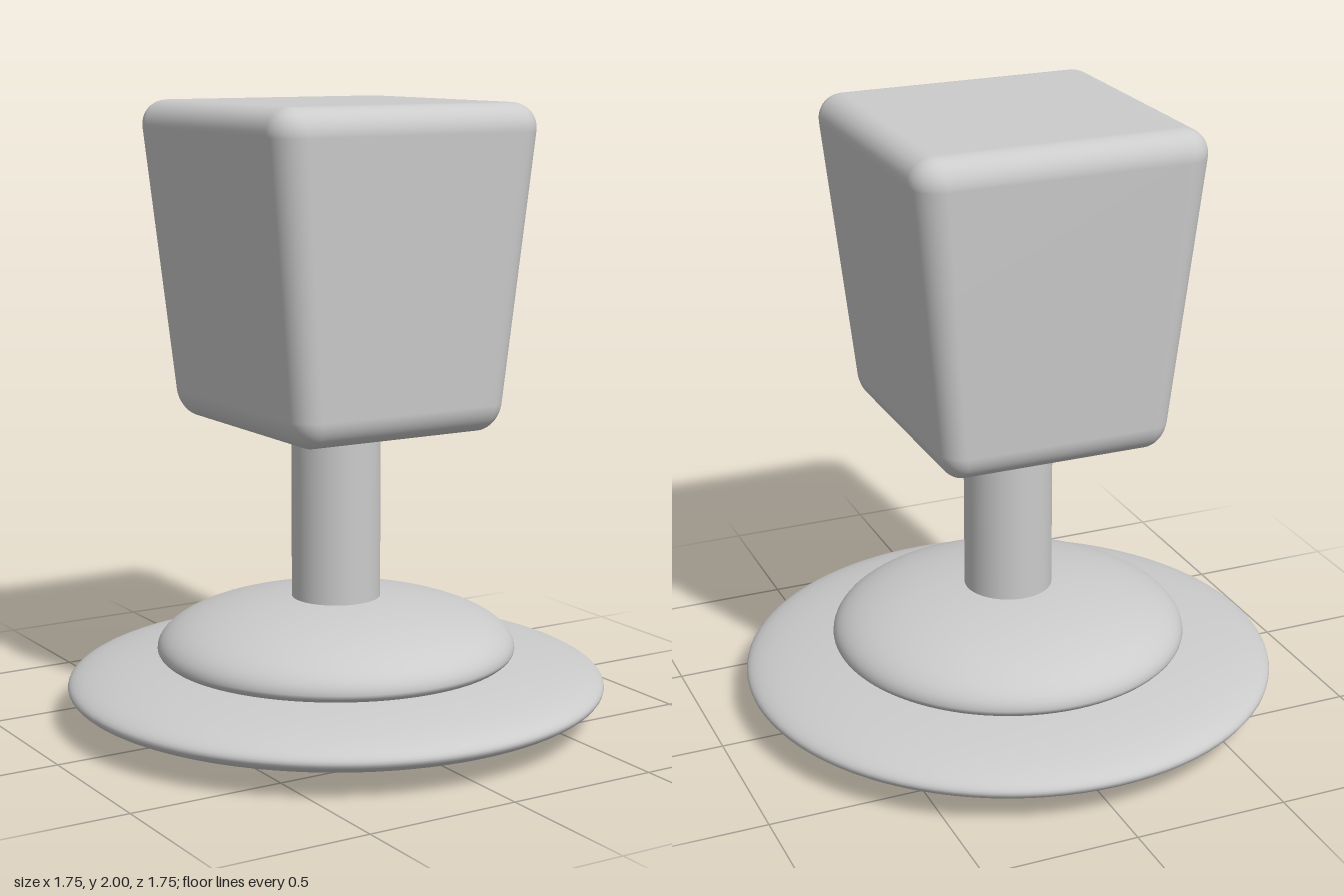
import * as THREE from 'three';
import { mergeVertices } from 'three/addons/utils/BufferGeometryUtils.js';
import { RoundedBoxGeometry } from 'three/addons/geometries/RoundedBoxGeometry.js';

const material = new THREE.MeshStandardMaterial({ color: 0xcccccc });

// Flattened sphere with separate heights above and below its widest ring
function squashedSphere(radius, up, down) {
  const geometry = new THREE.SphereGeometry(1, 96, 48);
  const p = geometry.attributes.position;
  for (let i = 0; i < p.count; i++) {
    const y = p.getY(i);
    p.setXYZ(i, p.getX(i) * radius, y * (y > 0 ? up : down), p.getZ(i) * radius);
  }
  geometry.computeVertexNormals();
  return geometry;
}

// Rounded block that narrows toward the bottom, more in x than in z
function taperedBlock(bottom, top, halfWidth, radius) {
  const height = top - bottom;
  let geometry = new RoundedBoxGeometry(halfWidth * 2, height, halfWidth * 2, 8, radius);
  geometry.deleteAttribute('uv');
  geometry.deleteAttribute('normal');
  geometry = mergeVertices(geometry, 1e-5);
  const p = geometry.attributes.position;
  for (let i = 0; i < p.count; i++) {
    const drop = height / 2 - radius - p.getY(i);
    p.setX(i, p.getX(i) * (1 - drop * 0.109 / halfWidth));
    p.setZ(i, p.getZ(i) * (1 - drop * 0.053 / halfWidth));
  }
  geometry.computeVertexNormals();
  return geometry;
}

export function createModel() {
  const group = new THREE.Group();
  const add = (name, geometry, y) => {
    const mesh = new THREE.Mesh(geometry, material);
    mesh.name = name;
    mesh.position.y = y;
    group.add(mesh);
  };

  // Round foot in two layers
  add('base', squashedSphere(0.875, 0.12, 0.12), 0.12);
  add('baseDome', squashedSphere(0.583, 0.172, 0.1), 0.236);

  // Post and tapered head
  add('stem', new THREE.CylinderGeometry(0.144, 0.144, 0.7, 64), 0.69);
  add('head', taperedBlock(0.972, 2, 0.475, 0.09), 1.486);

  return group;
}
